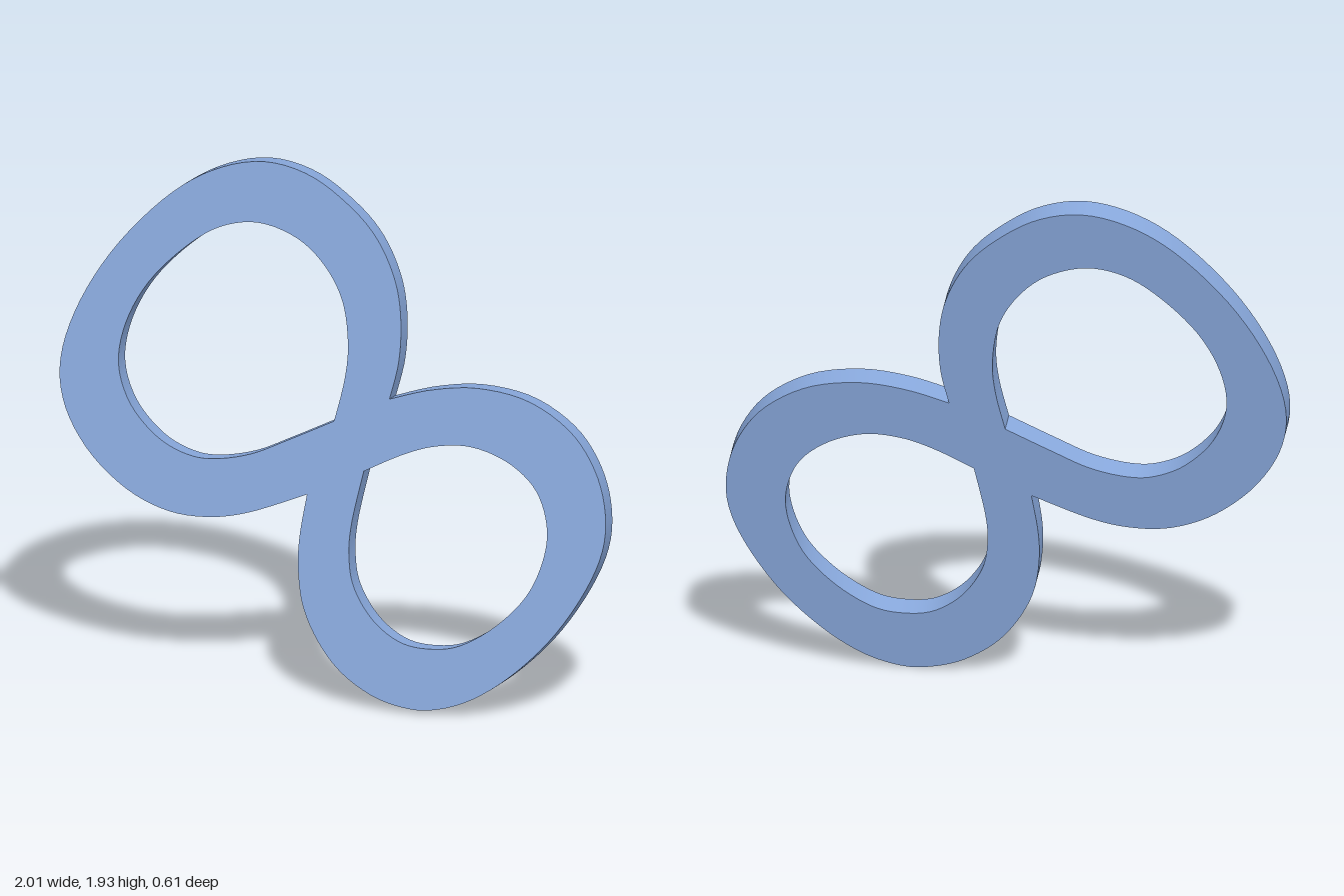
import * as THREE from 'three';
import { toCreasedNormals } from 'three/addons/utils/BufferGeometryUtils.js';

// Smooth run of points through a few [x, y] pairs
const smooth = (pairs, n = 90) =>
  new THREE.SplineCurve(pairs.map(([x, y]) => new THREE.Vector2(x, y))).getPoints(n);

// Outer edge: two lobes meeting at sharp notches
const notchRight = [0.2, 1.115], notchLeft = [-0.095, 0.75];
const upperEdge = [
  notchRight, [0.232, 1.25], [0.238, 1.4], [0.215, 1.54], [0.15, 1.68], [0.05, 1.79], [-0.1, 1.89],
  [-0.27, 1.925], [-0.45, 1.88], [-0.62, 1.77], [-0.8, 1.58], [-0.93, 1.37], [-0.995, 1.17],
  [-0.98, 1.0], [-0.89, 0.84], [-0.75, 0.715], [-0.6, 0.65], [-0.45, 0.64], [-0.3, 0.67], notchLeft,
];
const lowerEdge = [
  notchLeft, [-0.12, 0.6], [-0.124, 0.48], [-0.105, 0.35], [-0.05, 0.23], [0.03, 0.13], [0.14, 0.055],
  [0.25, 0.02], [0.36, 0.016], [0.5, 0.06], [0.65, 0.16], [0.8, 0.31], [0.92, 0.49], [0.983, 0.65],
  [0.985, 0.8], [0.94, 0.94], [0.85, 1.06], [0.7, 1.15], [0.52, 1.18], [0.35, 1.16], notchRight,
];

// Teardrop openings, each with its point toward the crossing
const upperTip = [0, 1.02], lowerTip = [0.11, 0.85];
const upperHole = [
  upperTip, [0.036, 1.17], [0.047, 1.3], [0.025, 1.45], [-0.04, 1.57], [-0.14, 1.66], [-0.28, 1.705],
  [-0.42, 1.68], [-0.55, 1.595], [-0.68, 1.46], [-0.76, 1.31], [-0.785, 1.16], [-0.74, 1.02],
  [-0.64, 0.91], [-0.53, 0.857], [-0.43, 0.85], [-0.3, 0.878], [-0.17, 0.937], upperTip,
];
const lowerHole = [
  lowerTip, [0.25, 0.92], [0.37, 0.96], [0.5, 0.968], [0.63, 0.925], [0.73, 0.84], [0.775, 0.72],
  [0.768, 0.6], [0.71, 0.46], [0.6, 0.34], [0.47, 0.257], [0.36, 0.235], [0.25, 0.25], [0.15, 0.32],
  [0.08, 0.43], [0.06, 0.54], [0.068, 0.66], lowerTip,
];

// Tilted plane of the front face: z = a x - b y + c
const a = 0.185, b = 0.17, c = 0.205, thickness = 0.096;

export function createModel() {
  const group = new THREE.Group();
  group.name = 'figureEight';

  const shape = new THREE.Shape([...smooth(upperEdge), ...smooth(lowerEdge).slice(1, -1)]);
  for (const hole of [upperHole, lowerHole]) shape.holes.push(new THREE.Path(smooth(hole).slice(0, -1)));
  const geometry = new THREE.ExtrudeGeometry(shape, { depth: 1, bevelEnabled: false });

  // Lay the front face on the tilted plane and set the back face behind it along the normal
  const normal = new THREE.Vector3(-a, b, 1).normalize();
  const position = geometry.attributes.position;
  const v = new THREE.Vector3();
  for (let i = 0; i < position.count; i++) {
    v.fromBufferAttribute(position, i);
    const depth = (1 - v.z) * thickness;
    v.z = a * v.x - b * v.y + c;
    v.addScaledVector(normal, -depth);
    position.setXYZ(i, v.x, v.y, v.z);
  }

  const plate = new THREE.Mesh(
    toCreasedNormals(geometry, 0.5),
    new THREE.MeshStandardMaterial({ color: 0x88a8dc })
  );
  plate.name = 'loopedPlate';
  group.add(plate);
  return group;
}
